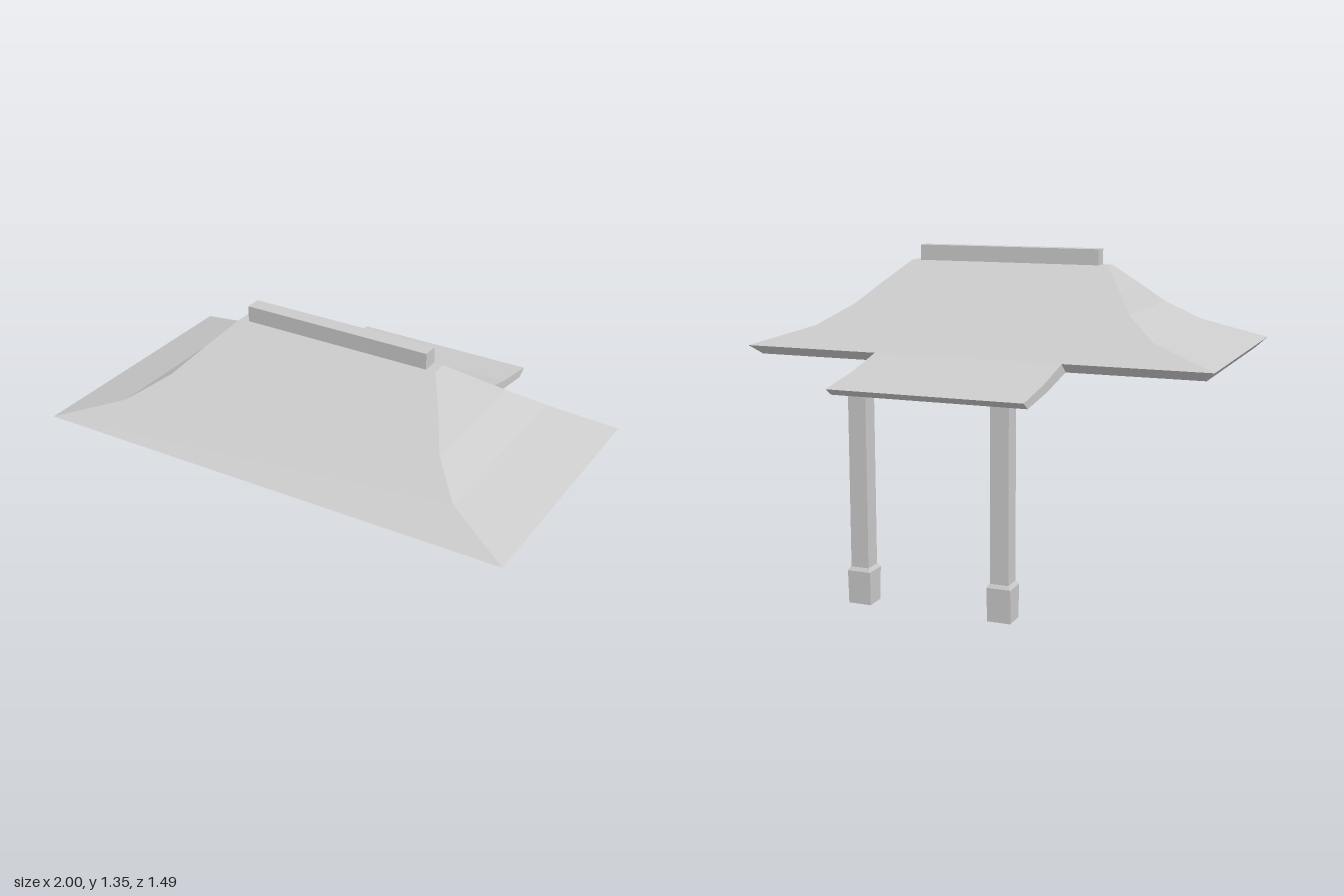
import * as THREE from 'three';

const material = new THREE.MeshStandardMaterial({ color: 0xcccccc, flatShading: true });

// Closed solid lofted through level rectangles, listed bottom to top: [y, halfX, backZ, frontZ]
function loft(name, rings) {
  const corners = rings.map(([y, hx, zb, zf]) => [[-hx, y, zf], [hx, y, zf], [hx, y, zb], [-hx, y, zb]]);
  const pos = [];
  const quad = (a, b, c, d) => [a, b, c, a, c, d].forEach((p) => pos.push(...p));
  for (let i = 0; i + 1 < corners.length; i++) {
    for (let j = 0; j < 4; j++) {
      const k = (j + 1) % 4;
      quad(corners[i][j], corners[i][k], corners[i + 1][k], corners[i + 1][j]);
    }
  }
  quad(...[...corners[0]].reverse());
  quad(...corners[corners.length - 1]);
  const geo = new THREE.BufferGeometry();
  geo.setAttribute('position', new THREE.Float32BufferAttribute(pos, 3));
  geo.computeVertexNormals();
  const mesh = new THREE.Mesh(geo, material);
  mesh.name = name;
  return mesh;
}

export function createModel() {
  const model = new THREE.Group();
  model.name = 'roofWithPorch';

  // Hipped roof: straight front and back slopes, concave ends, bevelled eave
  model.add(loft('mainRoof', [
    [0.895, 0.96, -0.277, 0.687],
    [0.935, 1.0, -0.325, 0.745],
    [1.02, 0.735, -0.215, 0.603],
    [1.107, 0.605, -0.1, 0.463],
    [1.19, 0.53, 0.012, 0.335],
    [1.28, 0.443, 0.132, 0.198],
  ]));

  // Ridge beam
  const ridge = new THREE.Mesh(new THREE.BoxGeometry(0.805, 0.066, 0.066), material);
  ridge.name = 'ridgeBeam';
  ridge.position.set(0, 1.313, 0.165);
  model.add(ridge);

  // Bent porch roof: side profile as (-z, y), extruded across x
  const profile = [
    [0.277, 0.895], [0.49, 0.853], [0.703, 0.825],
    [0.745, 0.853], [0.53, 0.887], [0.325, 0.935],
  ].map(([x, y]) => new THREE.Vector2(x, y));
  const porchGeo = new THREE.ExtrudeGeometry(new THREE.Shape(profile), { depth: 0.805, bevelEnabled: false });
  porchGeo.translate(0, 0, -0.4025).rotateY(Math.PI / 2);
  const porch = new THREE.Mesh(porchGeo, material);
  porch.name = 'porchRoof';
  model.add(porch);

  // Square posts on wider footings with a sloped shoulder
  for (const side of [-1, 1]) {
    const post = new THREE.Group();
    post.name = side > 0 ? 'leftPost' : 'rightPost';
    post.add(loft('shaft', [
      [0.145, 0.037, -0.037, 0.037],
      [0.835, 0.037, -0.037, 0.037],
    ]));
    post.add(loft('footing', [
      [0, 0.047, -0.043, 0.043],
      [0.133, 0.048, -0.047, 0.047],
      [0.147, 0.039, -0.039, 0.039],
    ]));
    post.position.set(side * 0.292, 0, -0.665);
    model.add(post);
  }

  return model;
}
